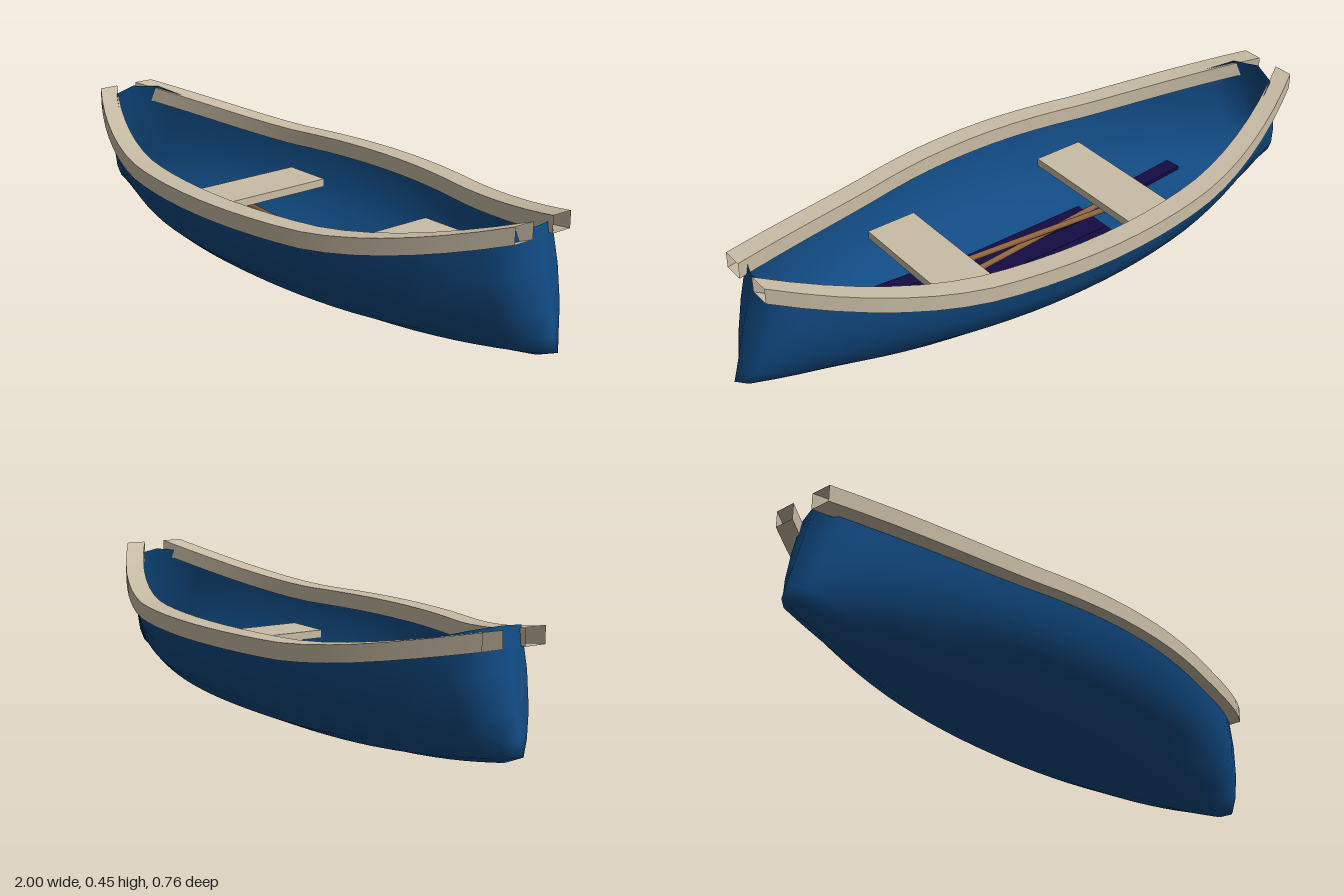
import * as THREE from 'three';
import { mergeVertices } from 'three/addons/utils/BufferGeometryUtils.js';

const hullBlue = new THREE.MeshStandardMaterial({ color: 0x114a82, side: THREE.DoubleSide, name: 'hullBlue' });
const paleWood = new THREE.MeshStandardMaterial({ color: 0xc9bda6, side: THREE.DoubleSide, name: 'paleWood' });
const darkNavy = new THREE.MeshStandardMaterial({ color: 0x150c42, name: 'darkNavy' });
const oarBrown = new THREE.MeshStandardMaterial({ color: 0x8f6540, name: 'oarBrown' });

// Height of the sheer line, level amidships and rising to both ends
const sheer = (t) => 0.311 + 0.112 * Math.pow(Math.max(0, (Math.abs(t) - 0.38) / 0.62), 1.7);

// Grid of rows of points -> smooth surface
function loft(rows, weld) {
  const n = rows[0].length, index = [];
  for (let i = 0; i < rows.length - 1; i++) {
    for (let j = 0; j < n - 1; j++) {
      const a = i * n + j, b = a + n;
      index.push(a, a + 1, b, b, a + 1, b + 1);
    }
  }
  let geo = new THREE.BufferGeometry();
  geo.setAttribute('position', new THREE.Float32BufferAttribute(rows.flat(2), 3));
  geo.setIndex(index);
  if (weld) geo = mergeVertices(geo, 1e-4);
  geo.computeVertexNormals();
  return geo;
}

function mesh(name, geo, mat, x = 0, y = 0, z = 0) {
  const m = new THREE.Mesh(geo, mat);
  m.name = name;
  m.position.set(x, y, z);
  return m;
}

// Open shell: sections from one sheer down to the keel and up again
function buildHull() {
  // [width fraction, height fraction]
  const half = [[1, 1], [0.96, 0.68], [0.79, 0.4], [0.55, 0.2], [0.3, 0.085]];
  const section = [...half, [0, 0], ...half.slice().reverse().map(([w, h]) => [-w, h])];
  const stations = [-1];
  for (let i = 0; i <= 28; i++) stations.push(-0.97 + (1.94 * i) / 28);
  stations.push(1);
  const rows = stations.map((t) => {
    const a = Math.abs(t);
    const width = a === 1 ? 0 : 0.345 - 0.28 * t * t;
    const keel = 0.08 * Math.pow(a, 2.5);
    return section.map(([w, h]) => {
      const stem = h === 0 ? 0.93 : 1 - 0.088 * (h - 0.085) / 0.915;
      return [t * stem, keel + (sheer(t) - keel) * h, width * w];
    });
  });
  return mesh('hull', loft(rows, true), hullBlue);
}

// Square rail following the sheer, open at both ends, hard long edges
function buildRail(side) {
  const rail = new THREE.Group();
  rail.name = side > 0 ? 'frontRail' : 'backRail';
  const corners = [[1, 1], [1, -1], [-1, -1], [-1, 1]];
  for (let k = 0; k < 4; k++) {
    const edge = [corners[k], corners[(k + 1) % 4]];
    if (side < 0) edge.reverse();
    const rows = [];
    for (let i = 0; i <= 24; i++) {
      const t = -1 + i / 12;
      const z = 0.349 - 0.281 * t * t;
      const y = sheer(t) + (t < 0 ? -0.026 : 0) * Math.pow(t, 4);
      rows.push(edge.map(([o, u]) => [-0.0125 + 0.9425 * t, y + 0.024 * u, side * (z + 0.032 * o)]));
    }
    rail.add(mesh('railFace', loft(rows, false), paleWood));
  }
  return rail;
}

// Oar lying lengthwise, blade towards one end
function buildOar(dir) {
  const oar = new THREE.Group();
  oar.name = dir > 0 ? 'leftOar' : 'rightOar';
  const shaft = new THREE.CylinderGeometry(0.009, 0.009, 0.7, 8).rotateZ(Math.PI / 2);
  oar.add(mesh('oarShaft', shaft, oarBrown, 0.15));
  oar.add(mesh('oarBlade', new THREE.BoxGeometry(0.32, 0.012, 0.05), darkNavy, -0.345));
  oar.rotation.y = dir > 0 ? Math.PI - 0.09 : 0.09;
  oar.position.set(dir * 0.115, 0.145 + dir * 0.008, 0.01);
  return oar;
}

export function createModel() {
  const boat = new THREE.Group();
  boat.name = 'rowingBoat';
  boat.add(buildHull(), buildRail(1), buildRail(-1));

  // Bench seats
  boat.add(mesh('rearSeat', new THREE.BoxGeometry(0.165, 0.025, 0.505), paleWood, -0.303, 0.203, -0.002));
  boat.add(mesh('foreSeat', new THREE.BoxGeometry(0.16, 0.025, 0.485), paleWood, 0.335, 0.203, -0.002));

  // Floor boards
  for (const z of [-0.105, -0.035, 0.035, 0.105]) {
    boat.add(mesh('floorBoard', new THREE.BoxGeometry(0.62, 0.014, 0.069), darkNavy, 0.015, 0.06, z - 0.003));
  }

  boat.add(buildOar(1), buildOar(-1));
  return boat;
}
